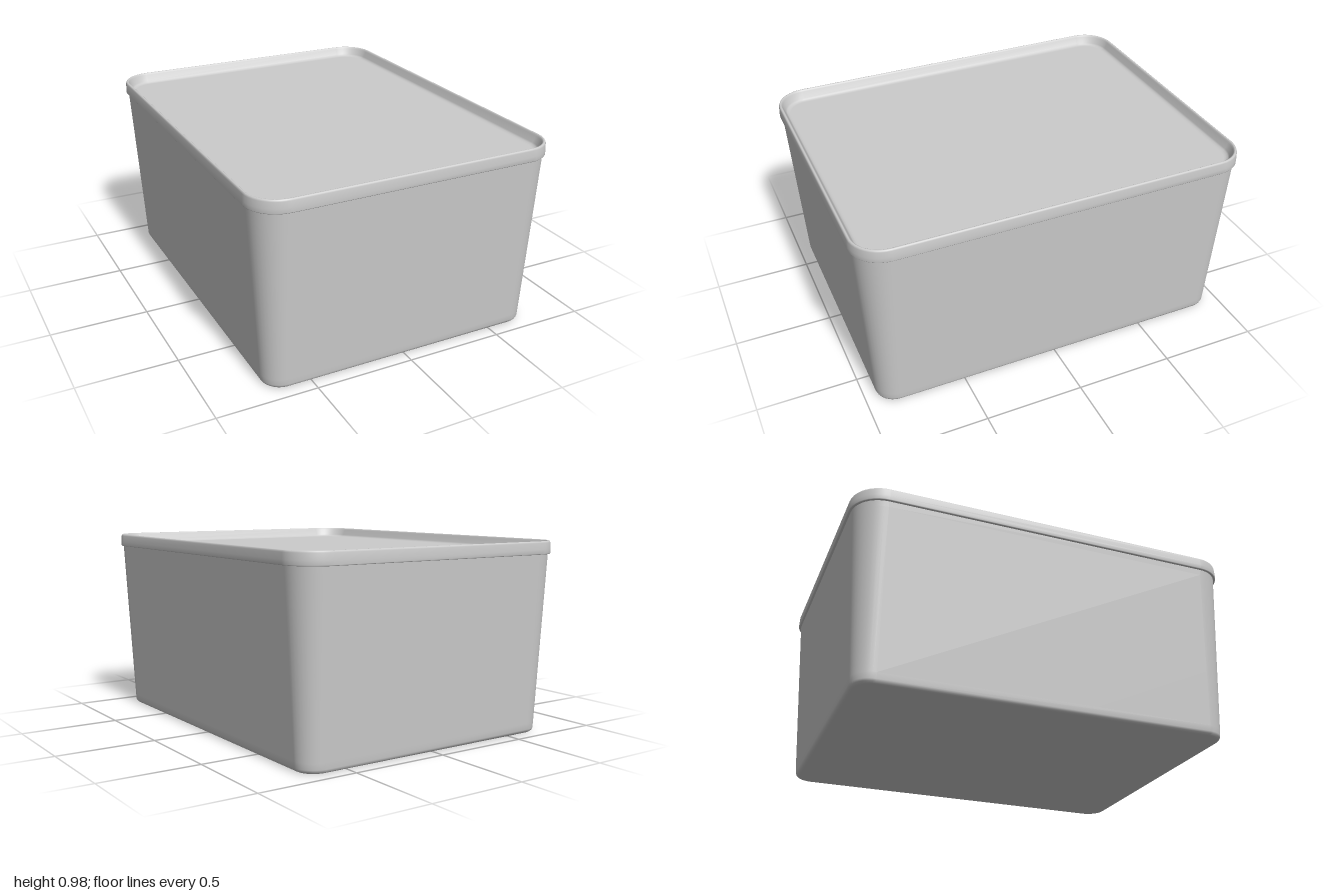
import * as THREE from 'three';

const CX = 0.62, CZ = 0.84; // centres of the rounded corners
const STEPS = 10;           // segments per corner

// Rounded-rectangle ring, grown by radius r around the corner centres
function ring(r, y) {
  const pts = [];
  [[1, 1], [-1, 1], [-1, -1], [1, -1]].forEach(([sx, sz], q) => {
    for (let i = 0; i <= STEPS; i++) {
      const a = (q + i / STEPS) * Math.PI / 2;
      pts.push(sx * CX + r * Math.cos(a), y, sz * CZ + r * Math.sin(a));
    }
  });
  return pts;
}

// Skins a profile of [radius, y] rings; capStart / capEnd close an end with a fan
function skin(name, profile, { capStart = false, capEnd = false }, material) {
  const n = 4 * (STEPS + 1), pos = [], idx = [];
  profile.forEach(([r, y]) => pos.push(...ring(r, y)));
  for (let k = 0; k < profile.length - 1; k++) {
    for (let i = 0; i < n; i++) {
      const j = (i + 1) % n, a = k * n + i, b = k * n + j;
      idx.push(a, a + n, b, b, a + n, b + n);
    }
  }
  const last = (profile.length - 1) * n;
  const cap = (y, fan) => {
    const c = pos.length / 3;
    pos.push(0, y, 0);
    for (let i = 0; i < n; i++) idx.push(...fan(c, i, (i + 1) % n));
  };
  if (capStart) cap(profile[0][1], (c, i, j) => [c, i, j]);
  if (capEnd) cap(profile[profile.length - 1][1], (c, i, j) => [c, last + j, last + i]);

  const geo = new THREE.BufferGeometry();
  geo.setAttribute('position', new THREE.Float32BufferAttribute(pos, 3));
  geo.setIndex(idx);
  geo.computeVertexNormals();
  const mesh = new THREE.Mesh(geo, material);
  mesh.name = name;
  return mesh;
}

export function createModel() {
  const group = new THREE.Group();
  group.name = 'storageBox';
  const material = new THREE.MeshStandardMaterial({ color: 0xcccccc, side: THREE.DoubleSide });

  // Tapered tub with a softened bottom edge
  group.add(skin('tub', [
    [0.078, 0], [0.088, 0.002], [0.096, 0.009], [0.1, 0.02],
    [0.102, 0.05], [0.146, 0.88], [0.148, 0.918],
  ], { capStart: true }, material));

  // Lid: overhanging lip, rounded rim and shallow recessed panel
  group.add(skin('lid', [
    [0.14, 0.91], [0.157, 0.91], [0.16, 0.914], [0.16, 0.935], [0.158, 0.966],
    [0.155, 0.973], [0.151, 0.975], [0.147, 0.975], [0.143, 0.972], [0.14, 0.965],
    [0.126, 0.934], [0.12, 0.927], [0.11, 0.923], [0.1, 0.922],
  ], { capEnd: true }, material));

  return group;
}
